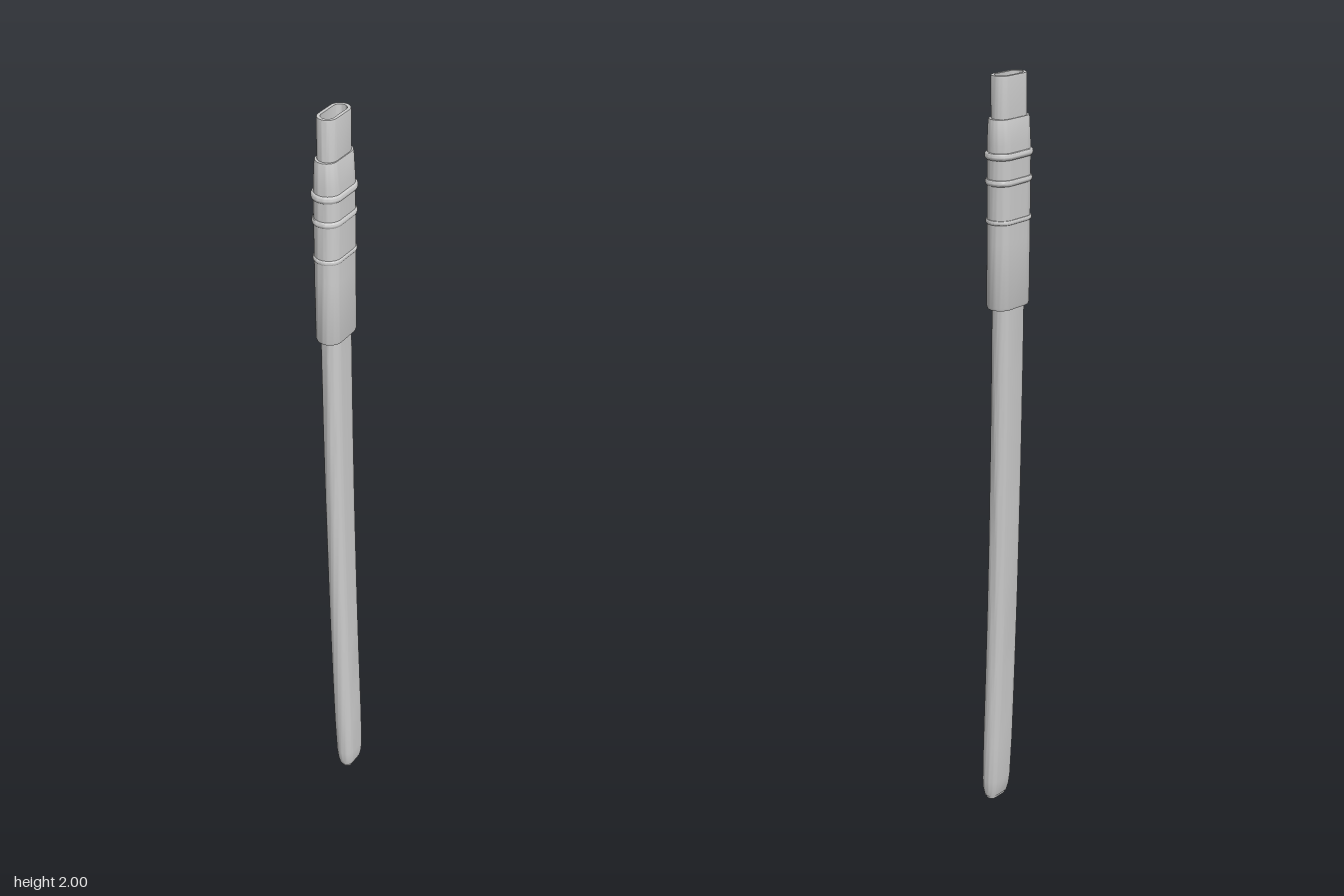
import * as THREE from 'three';
import { toCreasedNormals } from 'three/addons/utils/BufferGeometryUtils.js';

const SIDES = 40;            // points around each oval section
const TURN = 0.26;           // the flat of the blade is turned about y
const material = new THREE.MeshStandardMaterial({ color: 0xcccccc });

// Gently curved centre line, leaning back towards the top
const centre = (y) => [-0.008 + 0.012 * (y - 1) ** 2, 0.039 - 0.032 * y];

// One stadium-shaped section: half length l of the straight side, end radius r
function section(y, l, r) {
  const [cx, cz] = centre(y);
  const points = [];
  for (let i = 0; i < SIDES; i++) {
    const half = i < SIDES / 2 ? 0 : 1;
    const a = -Math.PI / 2 + half * Math.PI + ((i % (SIDES / 2)) / (SIDES / 2 - 1)) * Math.PI;
    const u = (half ? -l : l) + r * Math.cos(a);
    const v = r * Math.sin(a);
    points.push(new THREE.Vector3(
      cx + u * Math.cos(TURN) + v * Math.sin(TURN), y,
      cz - u * Math.sin(TURN) + v * Math.cos(TURN)));
  }
  return points;
}

// Skin through a profile of [y, l, r], running up the outside
function sweep(name, profile) {
  const rings = profile.map(([y, l, r]) => section(y, l, r));
  const positions = [];
  const triangle = (a, b, c) => {
    if (a.distanceTo(b) < 1e-6 || b.distanceTo(c) < 1e-6 || a.distanceTo(c) < 1e-6) return;
    for (const p of [a, b, c]) positions.push(p.x, p.y, p.z);
  };
  for (let k = 0; k < rings.length - 1; k++) {
    for (let i = 0; i < SIDES; i++) {
      const j = (i + 1) % SIDES;
      triangle(rings[k][i], rings[k + 1][i], rings[k][j]);
      triangle(rings[k][j], rings[k + 1][i], rings[k + 1][j]);
    }
  }
  const geometry = new THREE.BufferGeometry();
  geometry.setAttribute('position', new THREE.Float32BufferAttribute(positions, 3));
  const mesh = new THREE.Mesh(toCreasedNormals(geometry, 0.6), material);
  mesh.name = name;
  return mesh;
}

export function createModel() {
  const group = new THREE.Group();
  group.name = 'scabbard';

  // Long curved body with a rounded, stepped tip
  const body = [[0, 0, 0], [0, 0.016, 0.0145], [0.008, 0.016, 0.0165],
    [0.01, 0.017, 0.019], [0.03, 0.018, 0.023], [0.06, 0.018, 0.0255]];
  for (let i = 1; i <= 12; i++) body.push([0.06 + i * 0.12, 0.019, 0.0265]);
  group.add(sweep('body', body));

  // Wider collar, tapering a little at its top
  group.add(sweep('collar', [[1.436, 0.019, 0.024], [1.434, 0.027, 0.032],
    [1.44, 0.027, 0.034], [1.6, 0.027, 0.034], [1.8, 0.027, 0.034],
    [1.84, 0.028, 0.033], [1.895, 0.03, 0.029], [1.9, 0.03, 0.0275],
    [1.9, 0.0255, 0.024]]));

  // Raised bands round the collar
  [[1.813, 0.018, 0.0395], [1.75, 0.016, 0.038], [1.654, 0.012, 0.037]].forEach(([y, h, r], i) => {
    const band = [];
    for (let k = 0; k <= 6; k++) {
      const a = (k / 6 - 0.5) * Math.PI;
      band.push([y + (h / 2) * Math.sin(a), 0.0275, 0.033 + (r - 0.033) * Math.cos(a)]);
    }
    group.add(sweep('band' + (i + 1), band));
  });

  // Mouth: open throat with a flat rim and a deep slot
  group.add(sweep('mouth', [[1.88, 0.0255, 0.025], [1.995, 0.0255, 0.0255],
    [2, 0.0255, 0.0245], [2, 0.0255, 0.0165], [1.8, 0.0255, 0.016],
    [1.6, 0.0255, 0.016], [1.4, 0.0245, 0.016], [1.4, 0, 0]]));

  return group;
}
